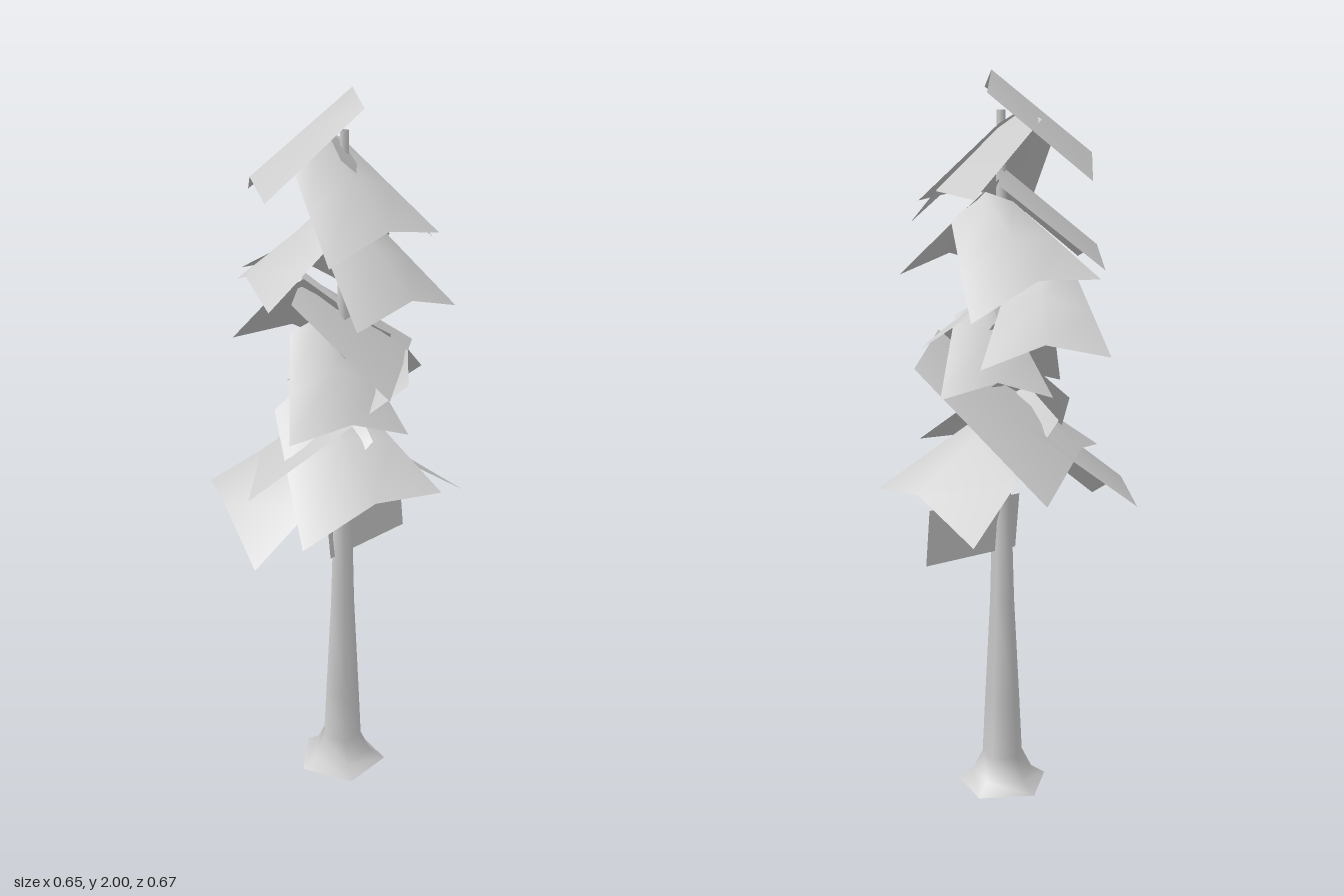
import * as THREE from 'three';

const material = new THREE.MeshStandardMaterial({ color: 0xcccccc, side: THREE.DoubleSide });

// Tip corners of each bough (x, y, z twice), anticlockwise seen from above
const boughs = [
  // crown
  [-0.05, 1.72, -0.245, -0.24, 1.76, 0.025],
  [-0.185, 1.62, 0.19, 0.145, 1.66, 0.253],
  [0.245, 1.61, 0.145, 0.285, 1.68, -0.19],
  // upper tier
  [0.305, 1.38, -0.2, -0.01, 1.48, -0.325],
  [-0.11, 1.49, -0.23, -0.27, 1.5, 0.065],
  [-0.14, 1.46, 0.243, 0.2, 1.46, 0.27],
  // middle tier
  [0.01, 1.23, 0.22, 0.296, 1.286, 0.04],
  [0.21, 1.243, -0.11, -0.04, 1.28, -0.335],
  [-0.237, 1.143, 0.1, 0.063, 1.127, 0.24],
  [0.305, 1.17, -0.065, 0.04, 1.165, -0.2],
  // lowest tier
  [0.31, 0.88, 0.228, 0.295, 0.8, -0.19],
  [-0.255, 0.87, 0.165, 0.1, 0.975, 0.33],
  [-0.14, 0.87, -0.335, -0.33, 0.8, 0.06],
  [0.125, 0.9, -0.28, -0.285, 0.965, -0.01],
];

// Arched sheet: narrow at the trunk, flaring to a drooping tip twice as wide
function boughGeometry([ax, ay, az, bx, by, bz]) {
  const a = new THREE.Vector3(ax, ay, az);
  const b = new THREE.Vector3(bx, by, bz);
  const tip = a.clone().lerp(b, 0.5);
  const half = b.clone().sub(a).multiplyScalar(0.5);
  const out = new THREE.Vector3(-half.z, 0, half.x).normalize();
  const width = a.distanceTo(b);
  // downhill direction, square to the tip edge
  const slope = out.clone().multiplyScalar(0.8).setY(-0.64);
  slope.addScaledVector(half, -slope.dot(half) / half.lengthSq());
  const inner = tip.clone().addScaledVector(slope, -width);
  const rows = 2, points = [], index = [];
  for (let r = 0; r <= rows; r++) {
    const t = r / rows;
    const centre = inner.clone().lerp(tip, t);
    for (let c = -1; c <= 1; c++) {
      const p = centre.clone().addScaledVector(half, c * (0.5 + 0.5 * t));
      if (c === 0) {
        p.y += 0.15 * width;
        p.addScaledVector(out, 0.045 * width);
      }
      points.push(p);
    }
  }
  for (let r = 0; r < rows; r++) {
    for (let c = 0; c < 2; c++) {
      const i = r * 3 + c;
      index.push(i, i + 3, i + 1, i + 1, i + 3, i + 4);
    }
  }
  const geometry = new THREE.BufferGeometry().setFromPoints(points);
  geometry.setIndex(index);
  geometry.computeVertexNormals();
  return geometry;
}

export function createModel() {
  const tree = new THREE.Group();
  tree.name = 'pineTree';

  // Five-sided tapered trunk with flared root
  const profile = [[0.133, 0], [0.09, 0.03], [0.06, 0.09], [0.052, 0.25], [0.036, 0.55], [0.026, 0.9], [0.012, 1.9]]
    .map(([r, y]) => new THREE.Vector2(r, y));
  const trunk = new THREE.Mesh(new THREE.LatheGeometry(profile, 5, THREE.MathUtils.degToRad(40)), material);
  trunk.name = 'trunk';
  trunk.position.set(0.035, 0, 0.025);
  tree.add(trunk);

  // Needle boughs
  const foliage = new THREE.Group();
  foliage.name = 'foliage';
  for (const corners of boughs) {
    const bough = new THREE.Mesh(boughGeometry(corners), material);
    bough.name = 'bough';
    foliage.add(bough);
  }
  tree.add(foliage);

  // Small flat twig below the foliage
  const twig = new THREE.Mesh(new THREE.PlaneGeometry(0.305, 0.16), material);
  twig.name = 'lowTwig';
  twig.position.set(0.142, 0.78, 0.015);
  twig.rotation.x = -0.12;
  tree.add(twig);

  return tree;
}
